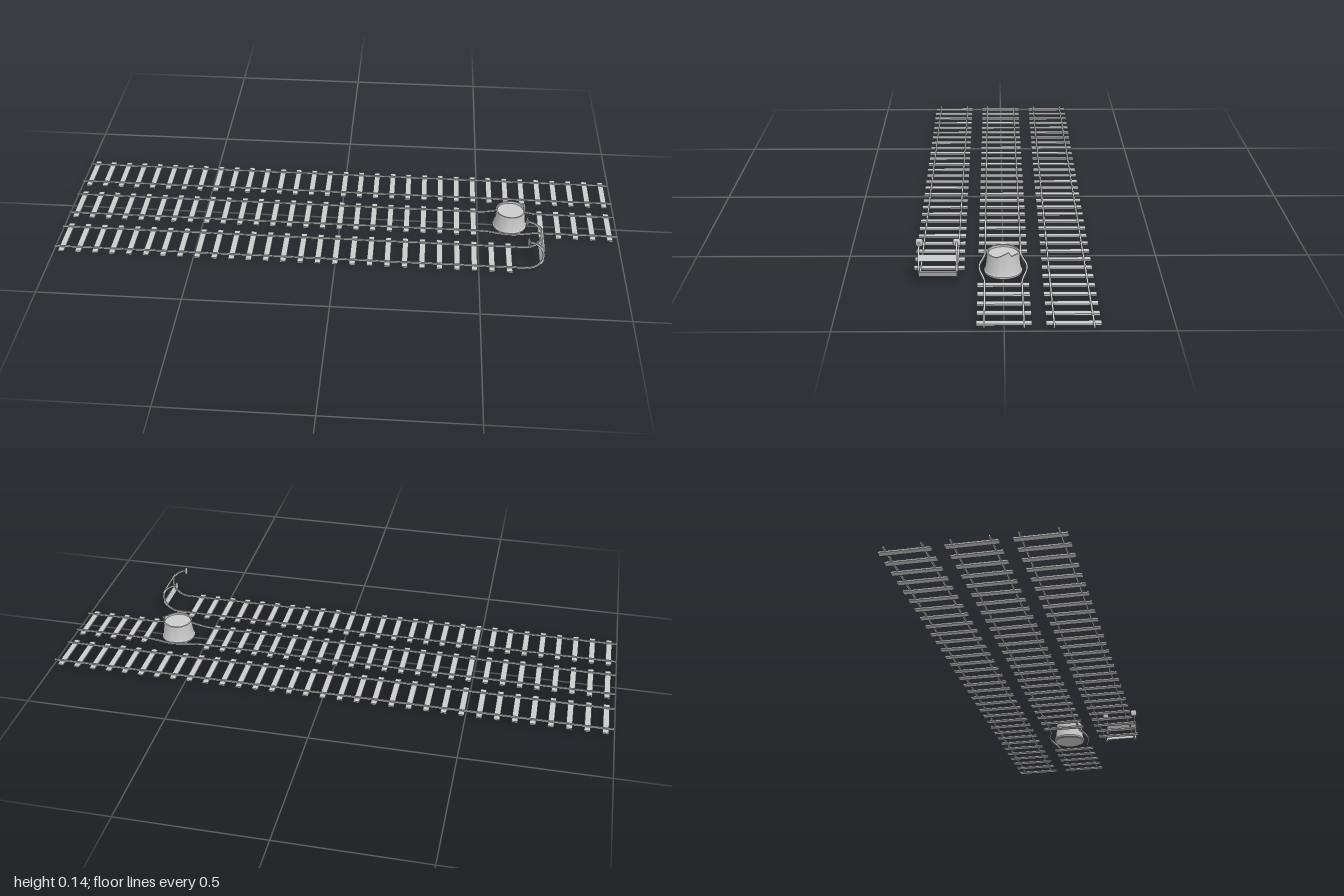
import * as THREE from 'three';
import { toCreasedNormals } from 'three/addons/utils/BufferGeometryUtils.js';

const mat = new THREE.MeshStandardMaterial({ color: 0xcccccc });
const thin = new THREE.MeshStandardMaterial({ color: 0xcccccc, side: THREE.DoubleSide });
const TRACK = 0.203, GAUGE = 0.058, RAIL = 0.006, RAIL_Y = 0.0155;
const STUMP_X = 0.615;

function add(parent, name, geometry, x = 0, y = 0, z = 0, material = mat) {
  const mesh = new THREE.Mesh(geometry, material);
  mesh.name = name;
  mesh.position.set(x, y, z);
  parent.add(mesh);
  return mesh;
}

// Square rail swept along a path
function sweptRail(curve, steps) {
  const h = RAIL / 2;
  const section = new THREE.Shape([[-h, -h], [h, -h], [h, h], [-h, h]].map(p => new THREE.Vector2(...p)));
  return toCreasedNormals(new THREE.ExtrudeGeometry(section, { steps, extrudePath: curve, bevelEnabled: false }), 0.6);
}

const sleeperX = i => -0.97 + i * 0.0606;

// 33 evenly spaced sleepers, keeping only those allowed by the filter
function addSleepers(track, keep) {
  const geo = new THREE.BoxGeometry(0.021, 0.0055, 0.162);
  for (let i = 0; i < 33; i++) if (keep(i)) add(track, 'sleeper', geo, sleeperX(i), 0.0118, 0);
}

function straightTrack() {
  const track = new THREE.Group();
  track.name = 'straightTrack';
  addSleepers(track, () => true);
  for (const s of [-1, 1]) add(track, 'rail', new THREE.BoxGeometry(2, RAIL, RAIL), 0, RAIL_Y, s * GAUGE);
  return track;
}

// Track whose rails bow outwards around the stump
function bowedTrack() {
  const track = new THREE.Group();
  track.name = 'bowedTrack';
  addSleepers(track, i => i < 25 || i > 27);
  for (const s of [-1, 1]) {
    const pts = [];
    for (let i = 0; i <= 24; i++) {
      const t = i / 24, bow = Math.sin(Math.PI * t) ** 2;
      pts.push(new THREE.Vector3(0.505 + 0.22 * t, RAIL_Y + 0.002 * bow, s * (GAUGE + 0.018 * bow)));
    }
    add(track, 'bowedRail', sweptRail(new THREE.CatmullRomCurve3(pts), 48));
    add(track, 'rail', new THREE.BoxGeometry(1.505, RAIL, RAIL), -0.2475, RAIL_Y, s * GAUGE);
    add(track, 'rail', new THREE.BoxGeometry(0.275, RAIL, RAIL), 0.8625, RAIL_Y, s * GAUGE);
  }
  return track;
}

// Track whose rails curl up into a buffer stop
function curledTrack() {
  const track = new THREE.Group();
  track.name = 'curledTrack';
  addSleepers(track, i => i <= 26);
  const cx = 0.662, r = 0.056, cy = RAIL_Y + r;
  for (const s of [-1, 1]) {
    add(track, 'rail', new THREE.BoxGeometry(1 + cx, RAIL, RAIL), (cx - 1) / 2, RAIL_Y, s * GAUGE);
    const pts = [];
    for (let i = 0; i <= 24; i++) {
      const a = -Math.PI / 2 + Math.PI * 0.98 * i / 24;
      pts.push(new THREE.Vector3(cx + r * Math.cos(a), cy + r * Math.sin(a), s * GAUGE));
    }
    add(track, 'curledRail', sweptRail(new THREE.CatmullRomCurve3(pts), 48));
    // Rounded buffer pad on the rail end
    const pad = new THREE.SphereGeometry(1, 20, 12);
    const p = pad.attributes.position;
    for (let i = 0; i < p.count; i++) {
      const y = p.getY(i), z = p.getZ(i), k = Math.hypot(y, z) / (Math.pow(y ** 4 + z ** 4, 0.25) || 1);
      p.setXYZ(i, p.getX(i) * 0.005, y * k * 0.0135, z * k * 0.012);
    }
    pad.computeVertexNormals();
    add(track, 'bufferPad', pad, cx + 0.001, cy + r, s * GAUGE);
  }
  // Cross bars fixed to the outside of the curl
  for (const a of [-0.48, 0.48]) {
    const d = r + 0.003;
    const bar = add(track, 'crossBar', new THREE.BoxGeometry(0.0055, 0.021, 2 * GAUGE + 0.004),
      cx + d * Math.cos(a), cy + d * Math.sin(a), 0);
    bar.rotation.z = a;
  }
  return track;
}

// Extra rim height at a given z, forming the splintered side
function splinter(z) {
  const steps = [[-0.052, 0], [-0.037, 0.005], [-0.026, 0.002], [-0.017, 0.019], [0.02, 0]];
  for (let i = 0; i < steps.length - 1; i++) {
    const [z0, h0] = steps[i], [z1, h1] = steps[i + 1];
    if (z >= z0 && z <= z1) return h0 + (h1 - h0) * (z - z0) / (z1 - z0);
  }
  return 0;
}

function stump() {
  const group = new THREE.Group();
  group.name = 'stump';
  const vec = list => list.map(p => new THREE.Vector2(...p));
  add(group, 'stumpBase', toCreasedNormals(new THREE.LatheGeometry(vec([
    [0, 0.002], [0.057, 0.002], [0.061, 0.005], [0.0615, 0.011], [0.058, 0.015], [0, 0.015]]), 48), 0.6));

  // Flared body with a hollowed, splintered top
  const body = new THREE.LatheGeometry(vec([
    [0.059, 0.013], [0.0565, 0.025], [0.0545, 0.04], [0.053, 0.055], [0.0525, 0.0735],
    [0.048, 0.0735], [0.0475, 0.067], [0, 0.067]]), 72);
  const p = body.attributes.position;
  for (let i = 0; i < p.count; i++) {
    if (p.getY(i) > 0.07 && p.getX(i) > 0) p.setY(i, p.getY(i) + splinter(p.getZ(i)));
  }
  add(group, 'stumpBody', toCreasedNormals(body, 0.6), 0, 0, 0, thin);
  group.position.x = STUMP_X;
  return group;
}

export function createModel() {
  const model = new THREE.Group();
  model.name = 'railTracks';
  const back = straightTrack(), front = curledTrack();
  back.position.z = -TRACK;
  front.position.z = TRACK;
  model.add(back, bowedTrack(), front, stump());
  return model;
}
